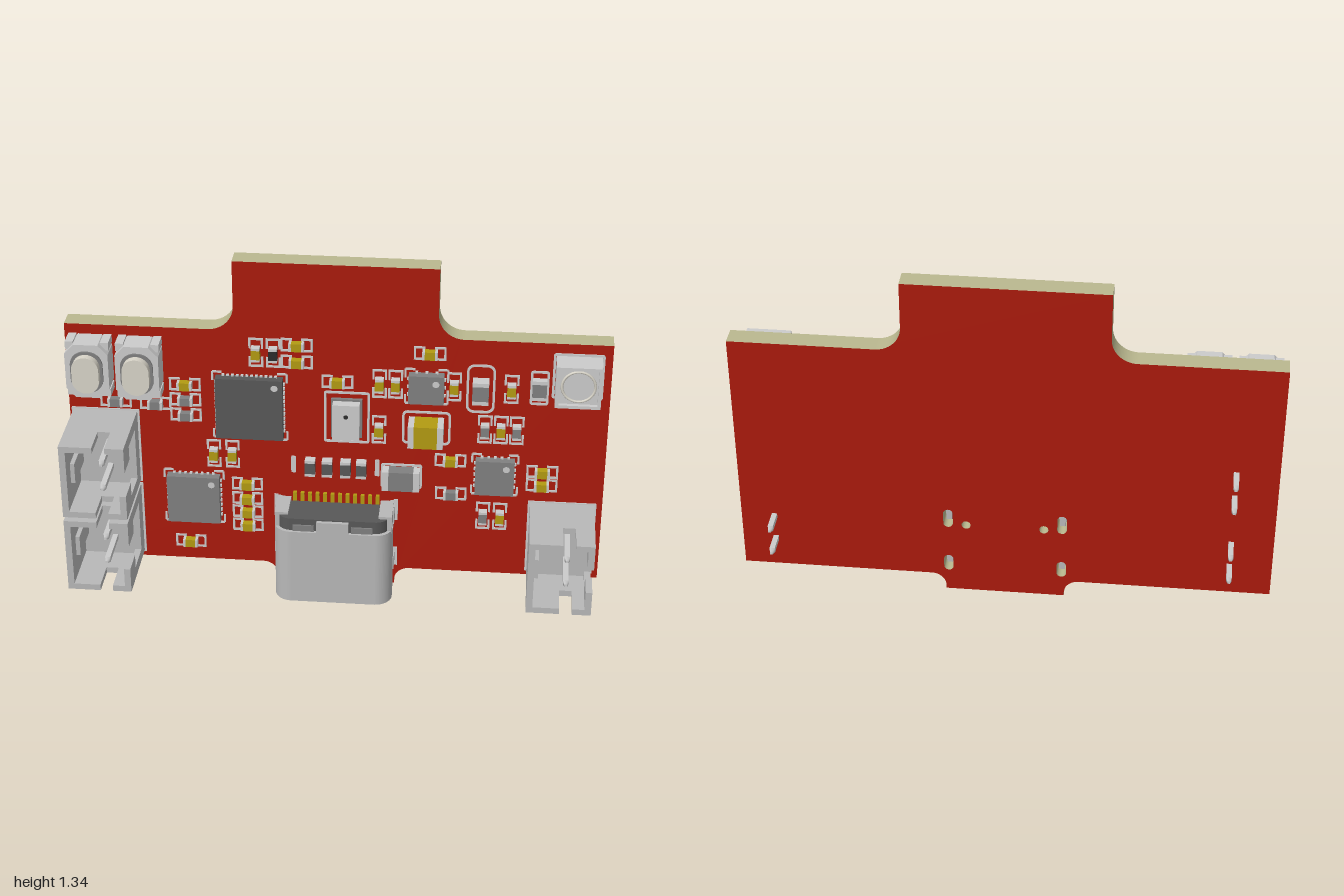
import * as THREE from 'three';
import { RoundedBoxGeometry } from 'three/addons/geometries/RoundedBoxGeometry.js';

const mat = (color) => new THREE.MeshStandardMaterial({ color });
const M = {
  red: mat(0xaa1a0c), edge: mat(0xbab88f), silk: mat(0xdddddd), light: mat(0xcccccc), shell: mat(0xb8b8b8),
  plastic: mat(0xb8b8b8), cream: mat(0xd8d4c8), grey: mat(0x808080), dark: mat(0x585858),
  black: mat(0x2c2c2c), gold: mat(0xb39b12),
};
const FACE = -0.058; // front surface of the board
const BACK = -0.135;

function add(parent, name, geo, m, x = 0, y = 0, z = 0) {
  const mesh = new THREE.Mesh(geo, m);
  mesh.name = name;
  mesh.position.set(x, y, z);
  parent.add(mesh);
  return mesh;
}

// Box given by its limits
function span(parent, name, m, x0, x1, y0, y1, z0, z1) {
  return add(parent, name, new THREE.BoxGeometry(x1 - x0, y1 - y0, z1 - z0), m,
    (x0 + x1) / 2, (y0 + y1) / 2, (z0 + z1) / 2);
}

// Box resting on the board's front surface
function onBoard(parent, name, m, x, y, w, h, top, from = FACE) {
  return span(parent, name, m, x - w / 2, x + w / 2, y - h / 2, y + h / 2, from, top);
}

function roundRect(w, h, r, Type = THREE.Shape, cx = 0, cy = 0) {
  const s = new Type(), a = w / 2 - r, b = h / 2 - r;
  s.absarc(cx + a, cy + b, r, 0, Math.PI / 2);
  s.absarc(cx - a, cy + b, r, Math.PI / 2, Math.PI);
  s.absarc(cx - a, cy - b, r, Math.PI, Math.PI * 1.5);
  s.absarc(cx + a, cy - b, r, Math.PI * 1.5, Math.PI * 2);
  s.closePath();
  return s;
}

const extrude = (shape, depth, curveSegments = 8) =>
  new THREE.ExtrudeGeometry(shape, { depth, bevelEnabled: false, curveSegments });

function ring(w, h, r, t) {
  const s = roundRect(w, h, r);
  s.holes.push(roundRect(w - 2 * t, h - 2 * t, Math.max(r - t, 0.002), THREE.Path));
  return s;
}

function silkFrame(parent, x, y, w, h, r = 0.01) {
  add(parent, 'silkFrame', extrude(ring(w, h, r, 0.009), 0.004, 4), M.silk, x, y, FACE);
}

function buildBoard(parent) {
  const s = new THREE.Shape();
  s.moveTo(-1, 0.07);
  s.lineTo(-0.28, 0.07);
  s.absarc(-0.28, 0.015, 0.055, Math.PI / 2, 0, true);
  s.lineTo(-0.225, 0);
  s.lineTo(0.225, 0);
  s.lineTo(0.225, 0.015);
  s.absarc(0.28, 0.015, 0.055, Math.PI, Math.PI / 2, true);
  s.lineTo(1, 0.07);
  s.lineTo(1, 1.065);
  s.lineTo(0.465, 1.065);
  s.absarc(0.465, 1.16, 0.095, Math.PI * 1.5, Math.PI, true);
  s.lineTo(0.37, 1.34);
  s.lineTo(-0.375, 1.34);
  s.lineTo(-0.375, 1.16);
  s.absarc(-0.47, 1.16, 0.095, 0, -Math.PI / 2, true);
  s.lineTo(-1, 1.065);
  s.closePath();
  for (const k of [-1, 1]) {
    s.holes.push(roundRect(0.036, 0.08, 0.0179, THREE.Path, k * 0.214, 0.334));
    s.holes.push(roundRect(0.036, 0.07, 0.0179, THREE.Path, k * 0.214, 0.125));
    s.holes.push(new THREE.Path().absarc(k * 0.146, 0.308, 0.017, 0, Math.PI * 2));
  }
  add(parent, 'board', extrude(s, FACE - BACK, 12), [M.red, M.edge], 0, 0, BACK);
}

// Two-pin socket, open to the front, with slotted walls
function buildSocket(parent, x, y) {
  const g = new THREE.Group();
  g.name = 'pinSocket';
  g.position.set(x, y, 0);
  parent.add(g);
  const L = -0.143, R = 0.097, H = 0.15, Z = 0.235, t = 0.024, p = M.plastic;
  span(g, 'socketFloor', p, L, R, -H, H, FACE, 0.01);
  span(g, 'socketBackWall', p, L, L + t, -H, H, 0.01, Z);
  span(g, 'socketRib', p, L + t, L + 0.04, -0.04, 0.04, 0.01, 0.17);
  for (const k of [-1, 1]) {
    const wall = (name, x0, x1, a, b, z0, z1) =>
      span(g, name, p, x0, x1, Math.min(k * a, k * b), Math.max(k * a, k * b), z0, z1);
    // end wall with a short slot in its rim
    wall('socketEndWall', L + t, R, H - t, H, 0.01, 0.115);
    wall('socketEndRim', L + t, -0.02, H - t, H, 0.115, Z);
    wall('socketEndRim', 0.027, R, H - t, H, 0.115, Z);
    // front cheek beside the central slot, undercut near the floor
    wall('socketCheek', R - t, R, 0.105, H - t, 0.01, Z);
    wall('socketCheekArm', R - t, R, 0.05, 0.105, 0.135, Z);
    // pin with tapered rear end
    onBoard(g, 'socketPin', M.light, 0, k * 0.052, 0.02, 0.02, 0.17, -0.215);
    for (const [z, dir] of [[0.18, 1], [-0.225, -1]]) {
      const tip = new THREE.CylinderGeometry(0.007, 0.01414, 0.02, 4).rotateY(Math.PI / 4).rotateX(dir * Math.PI / 2);
      add(g, 'pinTip', tip, M.light, 0, k * 0.052, z);
    }
  }
  silkFrame(parent, x - 0.023, y, 0.256, 0.312, 0.004);
}

// Port with a hollow metal shell opening downward
function buildPort(parent) {
  const g = new THREE.Group();
  g.name = 'edgePort';
  parent.add(g);
  const up = (shape, len) => extrude(shape, len, 10).rotateX(-Math.PI / 2);
  const W = 0.445, D = 0.157, zc = 0.0215;
  add(g, 'portShell', up(ring(W, D, 0.065, 0.014), 0.31), M.shell, 0, 0, zc);
  add(g, 'portCore', up(roundRect(W - 0.028, D - 0.028, 0.05), 0.21), M.dark, 0, 0.15, zc);
  add(g, 'portTongue', new RoundedBoxGeometry(0.3, 0.14, 0.03, 2, 0.01), M.dark, 0, 0.09, zc);
  for (const k of [-1, 1]) {
    span(g, 'shellEar', M.shell, k * 0.195 - 0.025, k * 0.195 + 0.025, 0.3, 0.37, FACE, 0.06);
    span(g, 'shellLatch', M.grey, k * 0.11 - 0.04, k * 0.11 + 0.04, 0.31, 0.335, 0.06, 0.092);
    for (const [y, h] of [[0.334, 0.06], [0.125, 0.05]]) {
      span(g, 'shellLeg', M.shell, k * 0.214 - 0.011, k * 0.214 + 0.011, y - h / 2, y + h / 2, -0.1, 0.0);
      onBoard(g, 'legPad', M.silk, k * 0.227, y, 0.016, h + 0.03, FACE + 0.004);
    }
  }
  span(g, 'shellBridge', M.shell, -0.06, 0.06, 0.3, 0.355, 0.06, 0.1);
  for (let i = 0; i < 12; i++) {
    onBoard(g, 'portContact', M.gold, -0.155 + i * 0.0285, 0.375, 0.014, 0.04, FACE + 0.014);
  }
}

function buildButton(parent, x, y) {
  const g = new THREE.Group();
  g.name = 'pushButton';
  g.position.set(x, y, 0);
  parent.add(g);
  const s = new THREE.Shape(); // body with chamfered corners
  [[-0.08, -0.07], [-0.045, -0.108], [0.045, -0.108], [0.08, -0.07], [0.08, 0.07], [0.045, 0.108],
    [-0.045, 0.108], [-0.08, 0.07]].forEach(([a, b], i) => (i ? s.lineTo(a, b) : s.moveTo(a, b)));
  add(g, 'buttonBody', extrude(s, 0.093), M.light, 0, 0, FACE);
  add(g, 'buttonCollar', extrude(roundRect(0.12, 0.165, 0.055), 0.012), M.grey, 0, 0, 0.03);
  add(g, 'buttonCap', extrude(roundRect(0.1, 0.145, 0.0499), 0.035), M.cream, 0, 0, 0.035);
  for (const a of [-1, 1]) for (const b of [-1, 1]) onBoard(g, 'buttonLeg', M.light, a * 0.065, b * 0.095, 0.03, 0.03, 0.015);
}

// Leadless chip with contacts along its four sides
function buildChip(parent, x, y, w, h, m, n, top = -0.022) {
  const g = new THREE.Group();
  g.name = 'chip';
  g.position.set(x, y, 0);
  parent.add(g);
  onBoard(g, 'chipBody', m, 0, 0, w, h, top);
  add(g, 'chipDot', new THREE.CircleGeometry(0.013, 16), M.light, w / 2 - 0.03, h / 2 - 0.03, top + 0.001);
  for (let i = 0; i < n; i++) for (const k of [-1, 1]) {
    const u = (i + 0.5) / n - 0.5;
    onBoard(g, 'chipContact', M.light, u * w * 0.85, k * h / 2, 0.01, 0.012, FACE + 0.01);
    onBoard(g, 'chipContact', M.light, k * w / 2, u * h * 0.85, 0.012, 0.01, FACE + 0.01);
  }
  for (const a of [-1, 1]) for (const b of [-1, 1]) {
    onBoard(g, 'cornerMark', M.silk, a * (w / 2 - 0.005), b * (h / 2 + 0.013), 0.035, 0.008, FACE + 0.004);
    onBoard(g, 'cornerMark', M.silk, a * (w / 2 + 0.013), b * (h / 2 - 0.005), 0.008, 0.035, FACE + 0.004);
  }
}

// Two-terminal part: coloured middle, metal ends and optional printed brackets
function buildPassive(parent, x, y, upright, m, w = 0.056, h = 0.032, top = -0.03, brackets = true) {
  const g = new THREE.Group();
  g.name = 'passivePart';
  g.position.set(x, y, 0);
  if (upright) g.rotation.z = Math.PI / 2;
  parent.add(g);
  onBoard(g, 'partBody', m, 0, 0, w * 0.66, h, top);
  for (const k of [-1, 1]) {
    onBoard(g, 'partTerminal', M.light, k * w * 0.415, 0, w * 0.17, h, top);
    if (!brackets) continue;
    onBoard(g, 'bracketEnd', M.silk, k * 0.055, 0, 0.008, 0.054, FACE + 0.004);
    for (const j of [-1, 1]) onBoard(g, 'bracketArm', M.silk, k * 0.036, j * 0.023, 0.038, 0.008, FACE + 0.004);
  }
}

export function createModel() {
  const model = new THREE.Group();
  model.name = 'circuitBoard';
  buildBoard(model);
  for (const [x, y] of [[-0.842, 0.5625], [-0.842, 0.245], [0.874, 0.245]]) buildSocket(model, x, y);
  buildPort(model);
  for (const x of [-0.905, -0.72]) buildButton(model, x, 0.918);

  // Chips
  buildChip(model, -0.32, 0.755, 0.25, 0.25, M.dark, 12);
  buildChip(model, -0.54, 0.353, 0.2, 0.2, M.grey, 8);
  buildChip(model, 0.594, 0.508, 0.145, 0.145, M.grey, 5);
  buildChip(model, 0.332, 0.868, 0.13, 0.115, M.grey, 3);

  // Square lamp with a round window
  onBoard(model, 'lampBody', M.light, 0.88, 0.935, 0.165, 0.165, 0.02);
  add(model, 'lampRim', extrude(ring(0.165, 0.165, 0.004, 0.012), 0.015), M.light, 0.88, 0.935, 0.02);
  add(model, 'lampWindow', new THREE.TorusGeometry(0.06, 0.005, 6, 32), M.cream, 0.88, 0.935, 0.021);
  silkFrame(model, 0.88, 0.935, 0.185, 0.185);

  // Sensor can with a port hole
  onBoard(model, 'sensorBase', M.grey, 0.04, 0.725, 0.115, 0.16, -0.045);
  onBoard(model, 'sensorCan', M.light, 0.04, 0.725, 0.1, 0.145, -0.01);
  add(model, 'sensorHole', new THREE.CircleGeometry(0.009, 16), M.black, 0.04, 0.75, -0.009);
  silkFrame(model, 0.04, 0.725, 0.17, 0.215);

  // Larger two-terminal parts
  buildPassive(model, 0.335, 0.695, false, M.gold, 0.13, 0.09, 0.025, false);
  silkFrame(model, 0.335, 0.695, 0.18, 0.14, 0.02);
  buildPassive(model, 0.53, 0.868, true, M.grey, 0.09, 0.06, -0.012, false);
  silkFrame(model, 0.53, 0.868, 0.105, 0.2, 0.03);
  buildPassive(model, 0.246, 0.483, false, M.grey, 0.14, 0.08, -0.008, false);
  silkFrame(model, 0.246, 0.483, 0.155, 0.105);
  buildPassive(model, 0.743, 0.882, true, M.grey, 0.08, 0.052, -0.03, false);
  silkFrame(model, 0.743, 0.882, 0.068, 0.14);
  for (const x of [-0.096, -0.032, 0.037, 0.096]) buildPassive(model, x, 0.513, true, M.dark, 0.068, 0.038, -0.025, false);
  for (const x of [-0.16, 0.155]) silkFrame(model, x, 0.513, 0.018, 0.07, 0.004);

  // Small passives: gold, then grey, upright or lying
  const small = [
    [M.gold, true, [[-0.294, 0.979], [0.16, 0.872], [0.219, 0.872], [0.433, 0.872], [0.642, 0.872], [0.16, 0.679],
      [-0.46, 0.545], [-0.39, 0.545], [0.61, 0.7], [0.62, 0.326]]],
    [M.gold, false, [[-0.144, 1.016], [-0.144, 0.947], [0.005, 0.872], [0.342, 1.005], [-0.561, 0.834],
      [-0.337, 0.417], [-0.337, 0.353], [-0.337, 0.294], [-0.337, 0.235], [-0.561, 0.15], [0.428, 0.561],
      [0.77, 0.529], [0.77, 0.471]]],
    [M.grey, true, [[0.551, 0.7], [0.668, 0.7], [0.556, 0.326]]],
    [M.black, true, [[-0.23, 0.979]]],
    [M.grey, false, [[-0.561, 0.77], [-0.561, 0.706], [-0.823, 0.754], [-0.674, 0.749], [0.433, 0.417]]],
  ];
  for (const [m, upright, spots] of small) for (const [x, y] of spots) buildPassive(model, x, y, upright, m);
  return model;
}
